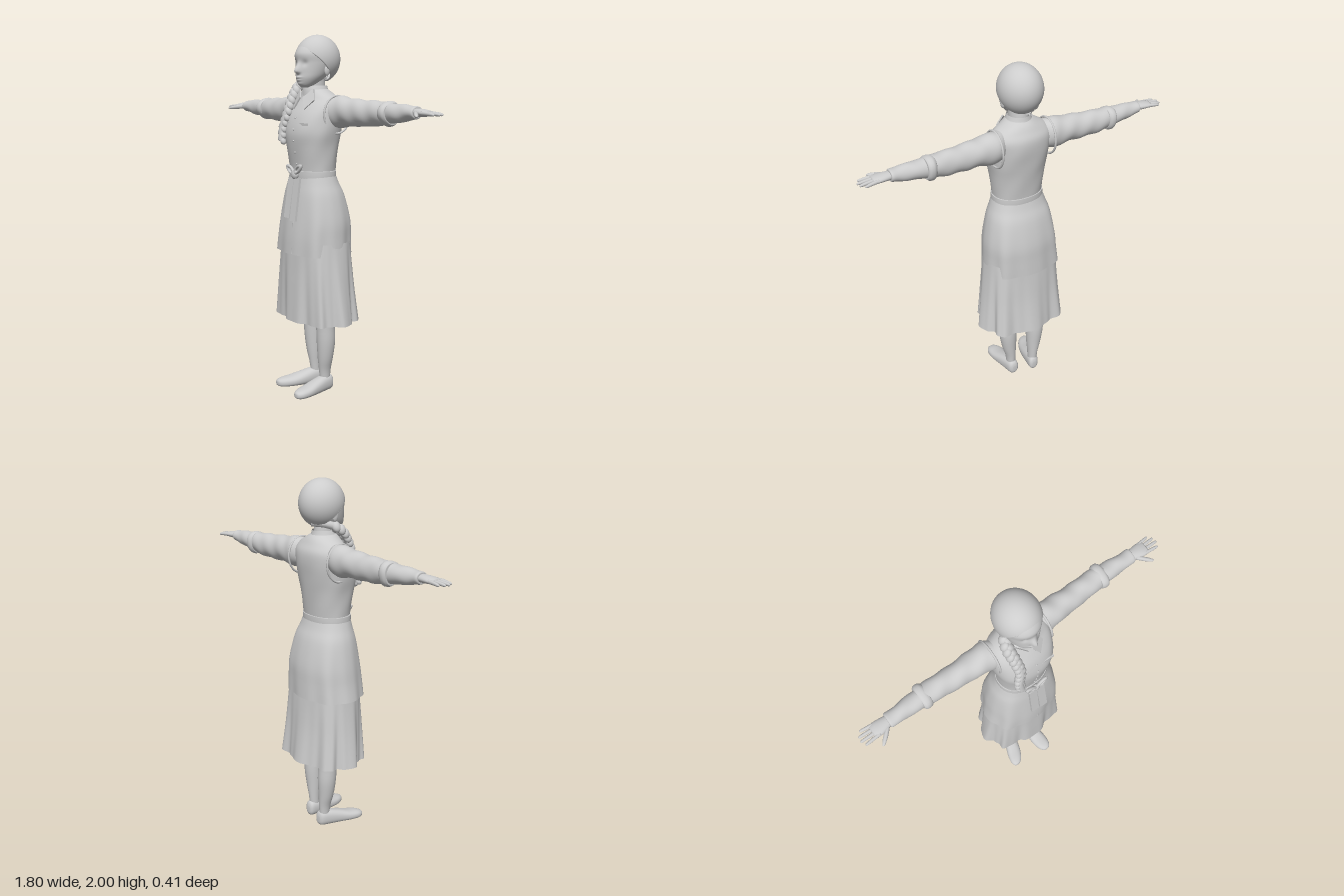
import * as THREE from 'three';
import { mergeGeometries } from 'three/addons/utils/BufferGeometryUtils.js';

const clay = new THREE.MeshStandardMaterial({ color: 0xcccccc, side: THREE.DoubleSide });
clay.name = 'light grey';

// Catmull-Rom blend of one number
function blend(a, b, c, d, t) {
  return b + 0.5 * t * (c - a + t * (2 * a - 5 * b + 4 * c - d + t * (3 * (b - c) + d - a)));
}

// Smooth skin over rows [t, a, b, ra, rb, e]; t runs along the axis, e < 1 makes sections boxier.
// Row order: axis y = [y, x, z, rx, rz], axis x = [x, z, y, rz, ry], axis z = [z, y, x, ry, rx]
function loft(rows, { axis = 'y', n = 32, steps = 4, caps = true, mirror = false, wave = () => 0 } = {}) {
  const rings = [];
  const at = (i) => rows[Math.min(Math.max(i, 0), rows.length - 1)];
  for (let i = 0; i < rows.length - 1; i++)
    for (let s = 0; s < steps; s++)
      rings.push([0, 1, 2, 3, 4, 5].map((k) =>
        blend(...[-1, 0, 1, 2].map((o) => at(i + o)[k] ?? 1), s / steps)));
  rings.push([0, 1, 2, 3, 4, 5].map((k) => at(rows.length)[k] ?? 1));
  const pos = [], idx = [];
  const put = (t, c, s) => {
    const p = axis === 'y' ? [c, t, s] : axis === 'x' ? [t, s, c] : [s, c, t];
    pos.push(mirror ? -p[0] : p[0], p[1], p[2]);
  };
  const tri = (a, b, c) => (mirror ? idx.push(a, c, b) : idx.push(a, b, c));
  const pow = (v, e) => Math.sign(v) * Math.abs(v) ** e;
  for (const [t, a, b, ra, rb, e] of rings)
    for (let j = 0; j < n; j++) {
      const q = (j / n) * Math.PI * 2, w = 1 + wave(q, t);
      put(t, a + ra * w * pow(Math.cos(q), e), b + rb * w * pow(Math.sin(q), e));
    }
  for (let i = 0; i < rings.length - 1; i++)
    for (let j = 0; j < n; j++) {
      const a = i * n + j, c = i * n + (j + 1) % n;
      tri(a, a + n, c);
      tri(a + n, c + n, c);
    }
  if (caps) {
    const last = (rings.length - 1) * n, m = rings.length * n;
    put(...rings[0]);
    put(...rings[rings.length - 1]);
    for (let j = 0; j < n; j++) {
      tri(m, j, (j + 1) % n);
      tri(m + 1, last + (j + 1) % n, last + j);
    }
  }
  const g = new THREE.BufferGeometry();
  g.setAttribute('position', new THREE.Float32BufferAttribute(pos, 3));
  g.setIndex(idx);
  g.computeVertexNormals();
  return g;
}

const ball = (x, y, z, rx, ry = rx, rz = rx) =>
  new THREE.SphereGeometry(1, 16, 12).scale(rx, ry, rz).translate(x, y, z);
const curve = (pts) => new THREE.CatmullRomCurve3(pts.map((p) => new THREE.Vector3(...p)));
const bump = (v, width) => Math.exp(-((v / width) ** 2));

// Nose, lips and eye sockets as soft swellings of the face
function features(q, t) {
  const d = q - Math.PI / 2;
  const nose = 0.32 * bump(d, 0.16) * bump(t - 1.803, t > 1.803 ? 0.035 : 0.011);
  const lips = 0.09 * bump(d, 0.28) * (bump(t - 1.772, 0.006) + bump(t - 1.757, 0.006));
  const chin = 0.1 * bump(d, 0.4) * bump(t - 1.738, 0.01);
  const sockets = -0.07 * bump(Math.abs(d) - 0.42, 0.17) * bump(t - 1.845, 0.016);
  return nose + lips + chin + sockets;
}

export function createModel() {
  const model = new THREE.Group();
  const add = (name, geometry, parent = model) => {
    const m = new THREE.Mesh(geometry, clay);
    m.name = name;
    parent.add(m);
    return m;
  };

  // Head
  add('face', loft([[1.718, 0, 0.07, 0.018, 0.02], [1.733, 0, 0.058, 0.044, 0.046], [1.765, 0, 0.038, 0.07, 0.077],
    [1.8, 0, 0.02, 0.086, 0.094], [1.85, 0, 0.008, 0.097, 0.104], [1.9, 0, 0, 0.1, 0.116],
    [1.95, 0, -0.01, 0.08, 0.09], [1.975, 0, -0.01, 0.03, 0.03]], { n: 80, steps: 10, wave: features }));
  for (const s of [1, -1]) add('ear', ball(s * 0.096, 1.808, -0.005, 0.01, 0.027, 0.017));

  // Hair cap tilted back, with a fine roll along the hairline
  const open = 1.88;
  const shape = (g) => g.rotateX(-0.76).scale(0.118, 0.13, 0.128).translate(0, 1.87, -0.015);
  add('hair', shape(new THREE.SphereGeometry(1, 48, 28, 0, Math.PI * 2, 0, open)));
  add('hairline', shape(new THREE.TorusGeometry(Math.sin(open) - 0.045, 0.045, 10, 48)
    .rotateX(Math.PI / 2).translate(0, Math.cos(open), 0)));

  // Braid from the nape over the right shoulder
  const braid = curve([[0, 1.775, -0.085], [-0.06, 1.768, -0.035], [-0.095, 1.735, 0.035], [-0.09, 1.66, 0.095],
    [-0.085, 1.58, 0.13], [-0.104, 1.5, 0.146], [-0.1, 1.43, 0.155]]);
  const strands = [];
  for (let i = 0; i < 24; i++) {
    const u = 0.25 + (0.75 * i) / 23, p = braid.getPointAt(u), r = 0.03 - 0.011 * u;
    strands.push(ball(0, 0, 0, r * 0.8, r * 1.15, r * 0.9).rotateZ(i % 2 ? 0.5 : -0.5)
      .translate(p.x + (i % 2 ? 0.011 : -0.011), p.y, p.z));
  }
  add('braid', mergeGeometries(strands));
  add('braidCore', new THREE.TubeGeometry(braid, 40, 0.021, 12));

  // Neck and bodice
  add('neck', loft([[1.62, 0, 0, 0.06, 0.065], [1.7, 0, 0.002, 0.053, 0.06], [1.8, 0, 0.008, 0.052, 0.055]]));
  add('bodice', loft([[1.23, 0, 0.02, 0.138, 0.104, 0.9], [1.3, 0, 0.02, 0.143, 0.112, 0.9],
    [1.4, 0, 0.022, 0.153, 0.126, 0.88], [1.48, 0, 0.02, 0.166, 0.135, 0.85], [1.56, 0, 0.005, 0.17, 0.13, 0.85],
    [1.62, 0, -0.01, 0.168, 0.113, 0.88], [1.66, 0, -0.013, 0.148, 0.092], [1.69, 0, -0.008, 0.1, 0.08],
    [1.71, 0, 0, 0.068, 0.068]], { n: 48, wave: (q, t) => 0.006 * Math.sin(6 * q + 30 * t) }));
  for (let i = 0; i < 5; i++)
    add('button', ball(0.005, 1.31 + i * 0.062, [0.132, 0.144, 0.153, 0.155, 0.14][i], 0.005));
  for (const s of [1, -1]) {
    add('pocketFlap', new THREE.BoxGeometry(0.075, 0.014, 0.006)).position.set(s * 0.075, 1.525, 0.139);
    add('armholeSeam', new THREE.TorusGeometry(0.1, 0.006, 8, 40).rotateY(Math.PI / 2)
      .scale(1, 1, 0.9).translate(s * 0.158, 1.575, -0.025));
  }

  // Collar: a low stand and two pointed wings
  add('collarStand', loft([[1.675, 0, -0.005, 0.082, 0.08], [1.705, 0, 0, 0.07, 0.072], [1.73, 0, 0.0, 0.06, 0.066]],
    { caps: false }));
  for (const s of [1, -1]) {
    const wing = new THREE.Shape([[0.01, 0.045], [0.048, -0.02], [0.09, 0.04], [0.062, 0.1]]
      .map(([x, y]) => new THREE.Vector2(s * x, y)));
    const m = add('collarWing', new THREE.ExtrudeGeometry(wing, { depth: 0.008, bevelEnabled: false }));
    m.position.set(0, 1.625, 0.113);
    m.rotation.set(-0.45, s * 0.3, 0);
  }

  // Jacket skirt, pleated underskirt and belt
  add('jacketSkirt', loft([[0.81, -0.01, 0.004, 0.225, 0.17, 0.75], [0.9, -0.004, 0.004, 0.216, 0.167, 0.75],
    [1, 0, 0.002, 0.208, 0.16, 0.77], [1.13, 0, 0.008, 0.184, 0.139, 0.82], [1.2, 0, 0.016, 0.16, 0.12, 0.88],
    [1.25, 0, 0.02, 0.143, 0.108, 0.9]],
  { n: 96, caps: false, wave: (q, t) => 0.07 * (1.25 - t) * (Math.cos(8 * q) - 1) }));
  add('skirt', loft([[0.425, 0, -0.014, 0.268, 0.184, 0.8], [0.6, 0, -0.006, 0.245, 0.169, 0.78],
    [0.72, 0, -0.003, 0.23, 0.16, 0.76], [0.88, 0, 0, 0.21, 0.15, 0.75]],
  { n: 160, steps: 5, caps: false,
    wave: (q, t) => (0.9 - t) * (0.13 * (Math.cos(8 * q) - 1) + 0.035 * Math.sin(19 * q)) }));
  add('frontPlacket', new THREE.TubeGeometry(
    curve([[0.01, 1.22, 0.131], [0.01, 1.13, 0.143], [0.01, 1, 0.159], [0.01, 0.815, 0.171]]), 20, 0.004, 6));
  add('belt', loft([[1.228, 0, 0.02, 0.146, 0.111, 0.9], [1.25, 0, 0.02, 0.146, 0.112, 0.9],
    [1.272, 0, 0.02, 0.145, 0.112, 0.9]], { n: 48 }));

  // Tied bow
  const bow = new THREE.Group();
  bow.name = 'bow';
  model.add(bow);
  add('knot', ball(0.005, 1.25, 0.145, 0.025, 0.026, 0.017), bow);
  for (const [x, y, turn] of [[0.038, 1.282, 0.65], [-0.028, 1.276, -0.6]])
    add('bowLoop', new THREE.TorusGeometry(1, 0.5, 8, 24).scale(0.029, 0.013, 0.018).rotateZ(turn)
      .translate(x, y, 0.15), bow);
  for (const [x, len] of [[-0.02, 0.22], [0.032, 0.232]]) {
    const tail = add('bowTail', new THREE.BoxGeometry(0.047, len, 0.014), bow);
    tail.position.set(x, 1.232 - len / 2, 0.163);
    tail.rotation.set(-0.15, 0, x * 0.6);
  }

  // Arms
  const folds = (q, t) => 0.03 * Math.sin(2 * q + 55 * t) + 0.022 * Math.sin(3 * q - 38 * t) * Math.sin(17 * t);
  for (const mirror of [false, true]) {
    const arm = new THREE.Group();
    arm.name = mirror ? 'rightArm' : 'leftArm';
    model.add(arm);
    const x = { axis: 'x', mirror };
    add('upperSleeve', loft([[0.1, -0.02, 1.6, 0.05, 0.065], [0.14, -0.028, 1.595, 0.068, 0.08],
      [0.18, -0.034, 1.591, 0.074, 0.085], [0.25, -0.036, 1.592, 0.068, 0.075], [0.36, -0.04, 1.588, 0.061, 0.069],
      [0.46, -0.045, 1.59, 0.058, 0.064], [0.54, -0.045, 1.593, 0.054, 0.058]], { ...x, steps: 7, wave: folds }), arm);
    add('foldedCuff', loft([[0.515, -0.045, 1.592, 0.057, 0.058], [0.53, -0.047, 1.592, 0.066, 0.064],
      [0.55, -0.047, 1.592, 0.066, 0.062], [0.562, -0.047, 1.592, 0.056, 0.054]],
    { ...x, wave: (q) => 0.05 * Math.sin(3 * q + 1) }), arm);
    add('lowerSleeve', loft([[0.54, -0.045, 1.593, 0.051, 0.051], [0.63, -0.043, 1.596, 0.046, 0.046],
      [0.7, -0.04, 1.6, 0.04, 0.036], [0.735, -0.04, 1.602, 0.04, 0.032], [0.742, -0.04, 1.602, 0.034, 0.026]],
    { ...x, steps: 6, wave: folds }), arm);
    add('palm', loft([[0.72, -0.04, 1.603, 0.026, 0.02], [0.76, -0.038, 1.603, 0.034, 0.02],
      [0.8, -0.036, 1.602, 0.04, 0.017], [0.83, -0.036, 1.6, 0.036, 0.012]], { ...x, n: 20 }), arm);
    // Fingers fan out from the knuckles, from little finger to index
    [[0.877, -0.074], [0.896, -0.052], [0.9, -0.028], [0.888, -0.002]].forEach(([tip, z], i) => {
      const z0 = -0.064 + i * 0.019;
      add('finger', loft([[0.8, z0, 1.602, 0.01, 0.011], [(0.8 + tip) / 2, (z0 + z) / 2, 1.6, 0.009, 0.009],
        [tip - 0.008, z, 1.597, 0.007, 0.007], [tip, z, 1.596, 0.002, 0.002]], { ...x, n: 10 }), arm);
    });
    add('thumb', loft([[0.745, -0.025, 1.6, 0.014, 0.013], [0.78, 0.008, 1.595, 0.016, 0.012],
      [0.81, 0.034, 1.59, 0.013, 0.009], [0.825, 0.045, 1.588, 0.004, 0.003]], { ...x, n: 12 }), arm);
  }

  // Legs and shoes: the left foot is forward, the right one set back and turned out
  for (const [side, s, dz, turn] of [['right', -1, -0.037, 1], ['left', 1, 0, 0.25]]) {
    add(side + 'Leg', loft([[0.04, 0.066, -0.018, 0.026, 0.028], [0.12, 0.068, -0.016, 0.03, 0.036],
      [0.2, 0.076, -0.013, 0.043, 0.045], [0.3, 0.082, -0.012, 0.053, 0.053], [0.42, 0.083, -0.008, 0.057, 0.054],
      [0.65, 0.088, -0.005, 0.072, 0.07]].map(([y, x, z, rx, rz]) => [y, s * x, z + dz, rx, rz])));
    const shoe = loft([[-0.066, 0.038, 0.056, 0.02, 0.014], [-0.052, 0.044, 0.058, 0.044, 0.031],
      [0, 0.042, 0.07, 0.046, 0.038], [0.06, 0.034, 0.085, 0.04, 0.044], [0.12, 0.026, 0.105, 0.031, 0.048],
      [0.17, 0.022, 0.122, 0.026, 0.041], [0.198, 0.02, 0.13, 0.018, 0.024], [0.205, 0.02, 0.132, 0.008, 0.008]]
      .map(([z, y, x, ry, rx]) => [z + dz * 0.8, y, s * (0.068 + (x - 0.065) * turn), ry, rx, 0.85]), { axis: 'z' });
    // Flat sole
    const p = shoe.attributes.position;
    for (let i = 0; i < p.count; i++) p.setY(i, Math.max(p.getY(i), 0));
    shoe.computeVertexNormals();
    add(side + 'Shoe', shoe);
  }
  return model;
}
